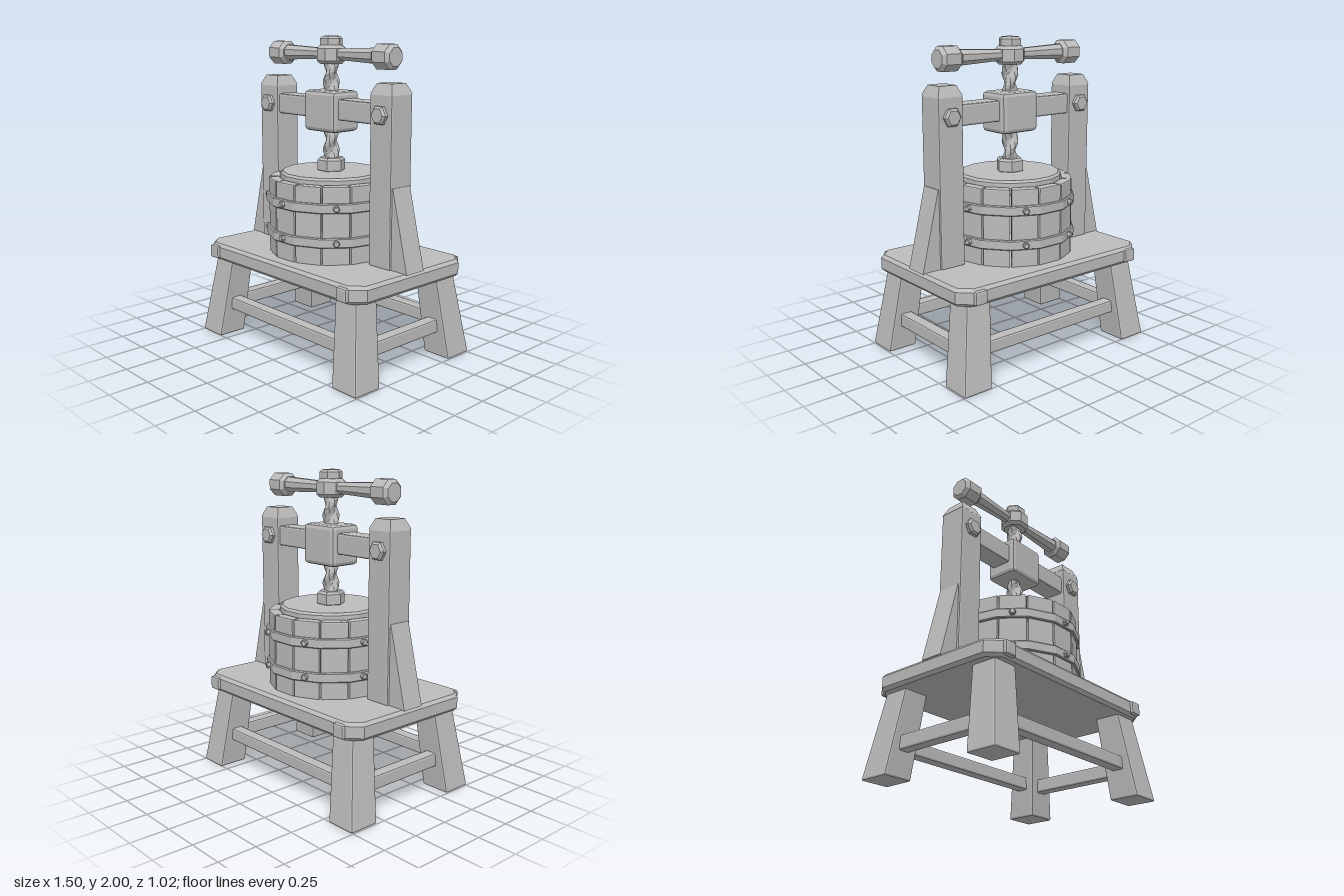
import * as THREE from 'three';
import { RoundedBoxGeometry } from 'three/addons/geometries/RoundedBoxGeometry.js';

const grey = new THREE.MeshStandardMaterial({ color: 0xbcbcbc });
grey.name = 'plain grey';

// Faceted look: split every face and give it its own normal
function facet(geometry) {
  const g = geometry.index ? geometry.toNonIndexed() : geometry;
  g.computeVertexNormals();
  return g;
}

// Box with one small chamfer on each edge
function bevelBox(w, h, d, b = 0.012) {
  return facet(new RoundedBoxGeometry(w, h, d, 1, b));
}

// Moves every vertex by a rule
function reshape(geometry, rule) {
  const p = geometry.attributes.position;
  const v = new THREE.Vector3();
  for (let i = 0; i < p.count; i++) {
    rule(v.fromBufferAttribute(p, i));
    p.setXYZ(i, v.x, v.y, v.z);
  }
  return facet(geometry);
}

// Many-sided solid around y from [radius, y] points
function turned(points, sides, turn = Math.PI / sides) {
  const profile = points.map(([r, y]) => new THREE.Vector2(r, y));
  return facet(new THREE.LatheGeometry(profile, sides, turn));
}

// Many-sided block with chamfered ends
function nut(r, y0, y1, sides, b = 0.015) {
  return turned([[0, y0], [r - b, y0], [r, y0 + b], [r, y1 - b], [r - b, y1], [0, y1]], sides);
}

export function createModel() {
  const model = new THREE.Group();
  model.name = 'screwPress';
  function add(name, geometry, x = 0, y = 0, z = 0, parent = model) {
    const mesh = new THREE.Mesh(geometry, grey);
    mesh.name = name;
    mesh.position.set(x, y, z);
    parent.add(mesh);
    return mesh;
  }

  // Table top with cut corners
  const X = 0.715, Z = 0.465, C = 0.07;
  const outline = new THREE.Shape([
    [X - C, -Z], [X, C - Z], [X, Z - C], [X - C, Z],
    [C - X, Z], [-X, Z - C], [-X, C - Z], [C - X, -Z],
  ].map(([a, b]) => new THREE.Vector2(a, b)));
  const top = new THREE.ExtrudeGeometry(outline, {
    depth: 0.07, bevelEnabled: true, bevelThickness: 0.02, bevelSize: 0.018, bevelSegments: 1,
  });
  top.rotateX(-Math.PI / 2);
  add('tableTop', facet(top), 0, 0.545, 0);

  // Splayed, tapering legs and the pegs above them
  for (const sx of [-1, 1]) for (const sz of [-1, 1]) {
    const leg = reshape(bevelBox(0.2, 0.54, 0.2), (v) => {
      v.y += 0.27;
      const t = v.y / 0.54;
      v.x = v.x * (1 - 0.15 * t) + sx * (0.65 - 0.067 * t);
      v.z = v.z * (1 - 0.16 * t) + sz * (0.41 - 0.064 * t);
    });
    add('leg', leg);
    add('cornerPeg', bevelBox(0.085, 0.085, 0.06), sx * 0.614, 0.58, sz * 0.472);
  }

  // Stretchers between the legs
  for (const s of [-1, 1]) {
    add('longStretcher', bevelBox(1.14, 0.085, 0.08), 0, 0.22, s * 0.385);
    add('sideStretcher', bevelBox(0.08, 0.09, 0.66), s * 0.625, 0.205, 0);
  }

  // Uprights with pointed tops, wedge braces and bolts
  for (const s of [-1, 1]) {
    const post = reshape(bevelBox(0.175, 1.05, 0.178, 0.01), (v) => { v.y += 1.155; });
    add('post', post, s * 0.516);
    const tip = new THREE.CylinderGeometry(0.06 * Math.SQRT2, 0.0875 * Math.SQRT2, 0.062, 4, 1);
    tip.rotateY(Math.PI / 4);
    add('postTip', facet(tip), s * 0.516, 1.706, 0);

    const wedge = new THREE.Shape([
      new THREE.Vector2(0.58, 0.63), new THREE.Vector2(0.73, 0.63),
      new THREE.Vector2(0.608, 1.13), new THREE.Vector2(0.58, 1.13),
    ]);
    const brace = new THREE.ExtrudeGeometry(wedge, { depth: 0.15, bevelEnabled: false });
    brace.translate(0, 0, -0.075);
    if (s < 0) brace.rotateY(Math.PI);
    add('brace', facet(brace));

    const bolt = nut(0.06, -0.122, 0.122, 6, 0.014);
    bolt.rotateX(Math.PI / 2);
    add('postBolt', bolt, s * 0.515, 1.555, 0);
  }

  // Crossbeam and the block that guides the screw
  add('crossbeam', bevelBox(0.9, 0.13, 0.14), 0, 1.555, 0);
  add('guideBlock', bevelBox(0.28, 0.255, 0.22, 0.025), 0, 1.538, 0);

  // Screw with a twisted, ridged surface
  const screw = reshape(new THREE.CylinderGeometry(0.05, 0.05, 0.66, 10, 36, true), (v) => {
    const r = 0.043 + 0.011 * Math.cos(2 * Math.atan2(v.z, v.x) + v.y * 44);
    const a = Math.atan2(v.z, v.x);
    v.x = r * Math.cos(a);
    v.z = r * Math.sin(a);
  });
  add('screw', screw, 0, 1.53, 0);
  add('footNut', nut(0.09, 1.145, 1.24, 6), 0, 0, 0);

  // Handle: hub, cap, flared arms and end knobs
  const handle = new THREE.Group();
  handle.name = 'handle';
  model.add(handle);
  add('hub', nut(0.095, 1.83, 1.945, 8, 0.02), 0, 0, 0, handle);
  add('hubCap', nut(0.072, 1.93, 2.0, 6), 0, 0, 0, handle);
  for (const s of [-1, 1]) {
    const arm = turned([[0.036, 0.06], [0.052, 0.42]], 8);
    const knob = nut(0.08, 0.4, 0.548, 8, 0.022);
    for (const g of [arm, knob]) g.rotateZ(-s * Math.PI / 2);
    add('arm', arm, 0, 1.89, 0, handle);
    add('knob', knob, 0, 1.887, 0, handle);
  }

  // Basket: staves, hoops with studs, and the pressing lid
  const basket = new THREE.Group();
  basket.name = 'basket';
  model.add(basket);
  const N = 14;
  for (let i = 0; i < N; i++) {
    const a = (i * 2 * Math.PI) / N;
    const stave = reshape(bevelBox(0.17, 0.49, 0.065, 0.008), (v) => {
      v.z += 0.358;
      v.x *= v.z / 0.39;
    });
    stave.rotateY(a);
    add('stave', stave, 0, 0.875, 0, basket);
  }
  for (const y of [0.775, 0.989]) {
    const hoop = turned([
      [0.39, -0.031], [0.41, -0.031], [0.416, -0.025], [0.416, 0.025],
      [0.41, 0.031], [0.39, 0.031], [0.39, -0.031],
    ], N);
    add('hoop', hoop, 0, y, 0, basket);
    for (let i = 0; i < 7; i++) {
      const stud = nut(0.021, 0.395, 0.43, 6, 0.006);
      stud.rotateX(Math.PI / 2).rotateY((i * 2 * Math.PI) / 7);
      add('hoopStud', stud, 0, y, 0, basket);
    }
  }
  add('lid', nut(0.327, 1.06, 1.157, 16, 0.014), 0, 0, 0, basket);

  return model;
}
